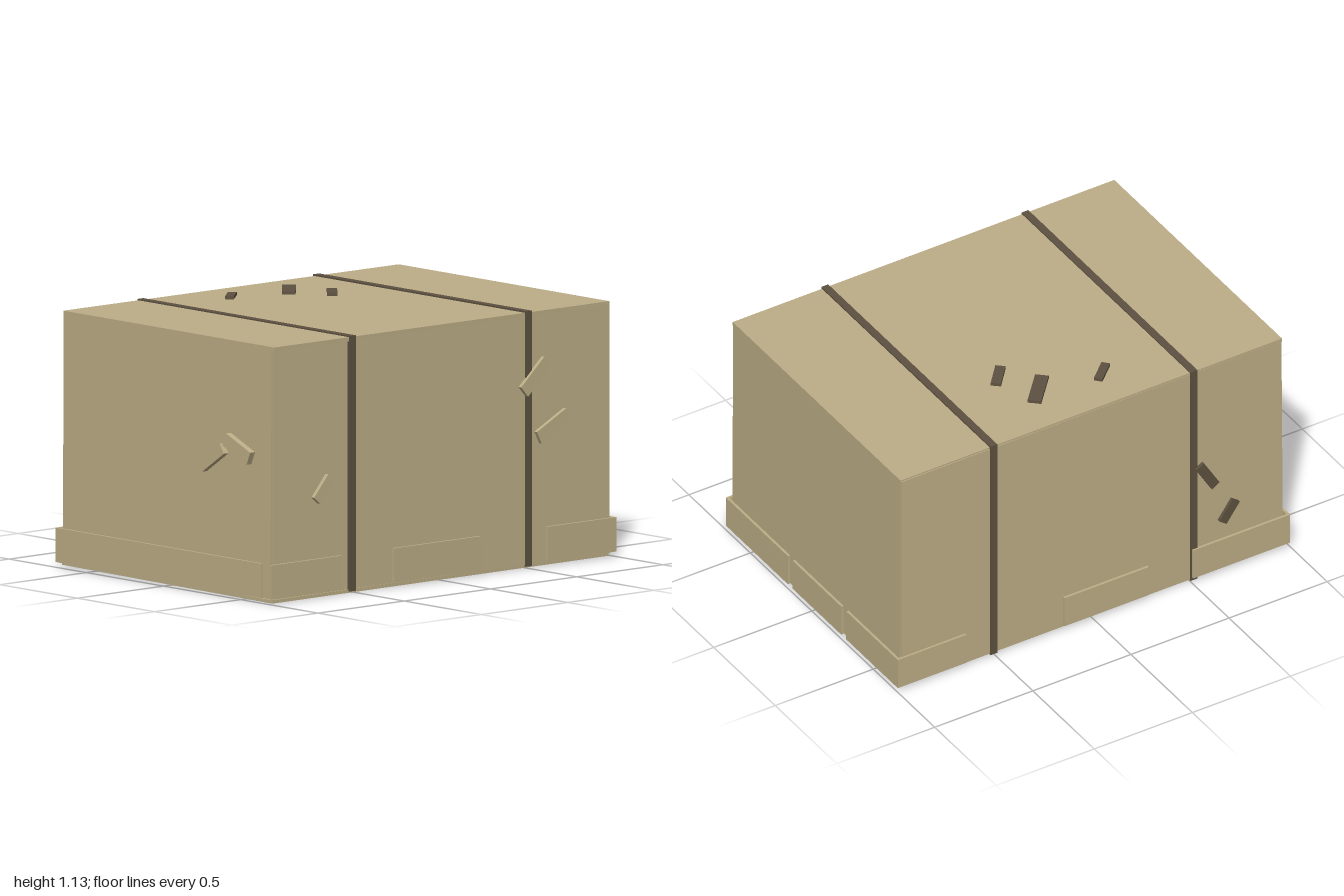
import * as THREE from 'three';

export function createModel() {
  const model = new THREE.Group();
  model.name = 'crate';
  const board = new THREE.MeshStandardMaterial({ color: 0xbcad86 });
  board.name = 'tan board';
  const dark = new THREE.MeshStandardMaterial({ color: 0x5c5140 });
  dark.name = 'dark band';

  function box(parent, name, mat, size, pos, rot = [0, 0, 0]) {
    const mesh = new THREE.Mesh(new THREE.BoxGeometry(...size), mat);
    mesh.name = name;
    mesh.position.set(...pos);
    mesh.rotation.set(...rot);
    parent.add(mesh);
    return mesh;
  }

  // Slightly uneven panels of the box
  const panels = new THREE.Group();
  panels.name = 'panels';
  model.add(panels);
  box(panels, 'topPanel', board, [1.945, 0.018, 1.365], [0.005, 1.112, -0.003], [0, 0, -0.0015]);
  box(panels, 'bottomPanel', board, [1.95, 0.015, 1.36], [0, 0.0165, -0.005], [0.0073, 0, 0.0018]);
  box(panels, 'frontPanel', board, [1.94, 1.095, 0.018], [0.005, 0.565, 0.665], [0, -0.008, 0]);
  box(panels, 'backPanel', board, [1.94, 1.095, 0.018], [0.005, 0.565, -0.679], [0, 0.002, 0]);
  box(panels, 'rightPanel', board, [0.018, 1.09, 1.36], [0.968, 0.565, 0], [0, 0, 0.002]);
  box(panels, 'leftPanel', board, [0.018, 1.09, 1.345], [-0.961, 0.565, -0.01], [0, 0, -0.007]);

  // Two bands wrapped all round
  for (const x of [-0.515, 0.505]) {
    const band = new THREE.Group();
    band.name = 'band';
    band.position.x = x;
    model.add(band);
    box(band, 'bandTop', dark, [0.035, 0.012, 1.377], [0, 1.121, -0.0035]);
    box(band, 'bandBottom', dark, [0.035, 0.012, 1.377], [0, 0.016, -0.0035]);
    box(band, 'bandFront', dark, [0.035, 1.117, 0.02], [0, 0.5685, 0.675]);
    box(band, 'bandBack', dark, [0.035, 1.117, 0.012], [0, 0.5685, -0.686]);
  }

  // Each face: u to its right, v up, depth outward.
  // skirt: [uStart, uEnd]; patches: [u, v, length, width, degrees]
  const faces = [
    { name: 'front', rot: [0, 0, 0], depth: 0.69, mat: board,
      skirt: [[-1, -0.59], [-0.29, 0.22], [0.6, 1]],
      patches: [[0.535, 0.838, 0.18, 0.06, 42], [0.638, 0.612, 0.19, 0.06, 27], [-0.695, 0.477, 0.125, 0.045, 49]] },
    { name: 'right', rot: [0, Math.PI / 2, 0], depth: 0.99, mat: board,
      skirt: [[-0.7, -0.195], [-0.155, 0.24], [0.28, 0.7]], patches: [] },
    { name: 'back', rot: [0, Math.PI, 0], depth: 0.693, mat: dark,
      skirt: [[-1, -0.65], [-0.15, 0.28], [0.505, 1]],
      patches: [[0.58, 0.545, 0.155, 0.045, -59], [0.69, 0.313, 0.115, 0.045, 54]] },
    { name: 'left', rot: [0, -Math.PI / 2, 0], depth: 0.985, mat: board,
      skirt: [[-0.7, 0.63]],
      patches: [[0.305, 0.6, 0.17, 0.05, 34], [0.47, 0.657, 0.17, 0.06, -23]] },
    { name: 'top', rot: [-Math.PI / 2, 0, 0], depth: 1.126, mat: dark, skirt: [],
      patches: [[-0.175, 0.485, 0.12, 0.038, 42], [0.125, 0.445, 0.19, 0.06, 48], [0.22, 0.271, 0.13, 0.045, 49]] },
  ];
  for (const f of faces) {
    const side = new THREE.Group();
    side.name = f.name + 'Fittings';
    side.rotation.set(...f.rot);
    model.add(side);
    const outer = f.name === 'right' || f.name === 'left' ? 1 : 0.7;
    for (const [a, b] of f.skirt)
      box(side, 'skirtBoard', board, [b - a, 0.15, 0.012], [(a + b) / 2, 0.1, outer - 0.006]);
    for (const [u, v, length, width, deg] of f.patches) {
      const thick = f.name === 'left' ? 0.028 : 0.018;
      box(side, 'patch', f.mat, [length, width, thick], [u, v, f.depth], [0, 0, THREE.MathUtils.degToRad(deg)]);
    }
  }
  return model;
}
